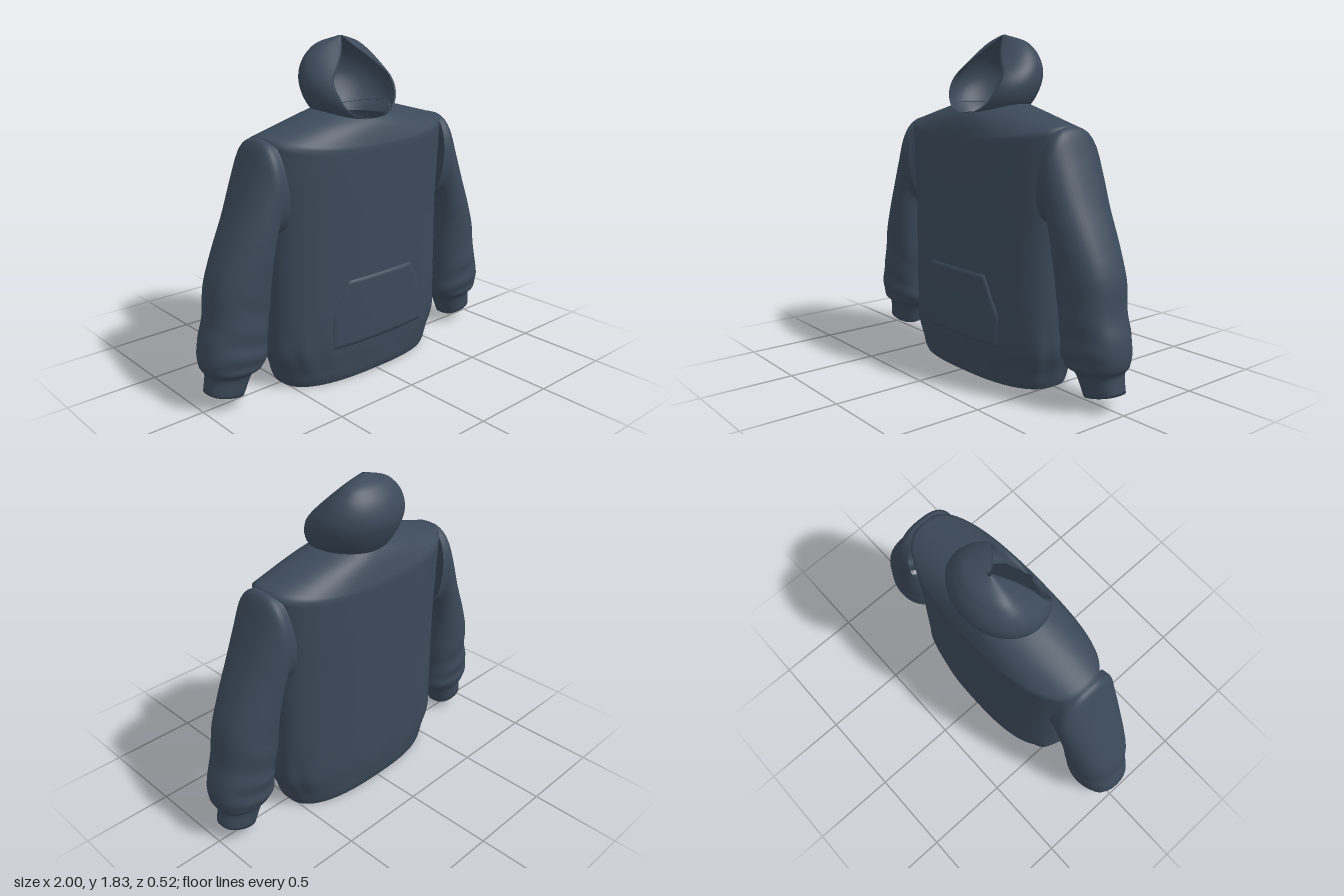
import * as THREE from 'three';

const fabric = new THREE.MeshStandardMaterial({ color: 0x3b4959, side: THREE.DoubleSide });
fabric.name = 'slate blue fabric';

// Smooth interpolation through rows of [key, ...values]
function spline(rows) {
  const size = rows[0].length - 1;
  const curve = new THREE.CubicInterpolant(
    rows.map(r => r[0]), rows.flatMap(r => r.slice(1)), size, new Float32Array(size));
  return k => [...curve.evaluate(k)];
}

// Surface from a rule fn(u, v) -> [x, y, z]; v wraps round when closed
function surface(name, rows, cols, closed, fn) {
  const pos = [], idx = [], n = closed ? cols : cols + 1;
  for (let i = 0; i <= rows; i++)
    for (let j = 0; j < n; j++) pos.push(...fn(i / rows, j / cols));
  for (let i = 0; i < rows; i++)
    for (let j = 0; j < cols; j++) {
      const a = i * n + j, c = i * n + (j + 1) % n;
      idx.push(a, a + n, c, a + n, c + n, c);
    }
  const g = new THREE.BufferGeometry();
  g.setAttribute('position', new THREE.Float32BufferAttribute(pos, 3));
  g.setIndex(idx);
  g.computeVertexNormals();
  const mesh = new THREE.Mesh(g, fabric);
  mesh.name = name;
  return mesh;
}

const { lerp, smoothstep, clamp } = THREE.MathUtils;
const TAU = Math.PI * 2, POWER = 2.6;
const bend = c => Math.sign(c) * Math.abs(c) ** (2 / POWER);

// Torso: height, half width, half depth
const torsoSize = spline([
  [0.005, 0.51, 0.218], [0.03, 0.52, 0.228], [0.1, 0.54, 0.238], [0.2, 0.578, 0.248],
  [0.35, 0.585, 0.25], [0.6, 0.585, 0.25], [0.88, 0.585, 0.25], [1.1, 0.598, 0.25], [1.29, 0.615, 0.248],
]);

function torsoPoint(y, a) {
  const [rx, rz] = torsoSize(y);
  // Gathered folds just above the hem
  const folds = smoothstep(y, 0.04, 0.16) * (1 - smoothstep(y, 0.18, 0.42));
  const r = 1 + 0.012 * folds * Math.sin(13 * a + 2 * Math.sin(3 * a));
  const s = bend(Math.sin(a));
  const lift = 0.08 * smoothstep(y, 1.0, 1.29) * (1 - s * s);
  return [rx * r * bend(Math.cos(a)), y + lift, rz * r * s];
}

// Yoke running from the shoulder line to the neckline
function yokePoint(t, a) {
  const p = torsoPoint(1.29, a), c = Math.cos(a), s = Math.sin(a);
  const neck = [0.225 * c, (s > 0 ? 1.425 : 1.455) + (s > 0 ? 0.05 : 0.02) * c * c, (s > 0 ? 0.19 : 0.18) * s];
  const q = p.map((v, i) => lerp(v, neck[i], t));
  q[1] += 0.02 * Math.sin(Math.PI * t) * s * s;
  return q;
}

// Sleeve rings: step, outer x y, inner x y, half depth, centre z
const sleeveRing = spline([
  [0, 0.585, 1.374, 0.53, 0.86, 0.18, 0],
  [1, 0.645, 1.355, 0.58, 0.87, 0.19, 0],
  [2, 0.70, 1.22, 0.597, 0.84, 0.19, 0],
  [3, 0.78, 1.02, 0.613, 0.73, 0.185, 0.005],
  [4, 0.87, 0.82, 0.617, 0.62, 0.178, 0.005],
  [5, 0.93, 0.66, 0.62, 0.51, 0.17, 0.005],
  [6, 0.955, 0.49, 0.637, 0.39, 0.162, 0.01],
  [7, 0.988, 0.385, 0.64, 0.31, 0.158, 0.012],
  [8, 1.0, 0.295, 0.642, 0.245, 0.152, 0.012],
  [9, 0.99, 0.23, 0.672, 0.20, 0.138, 0.01],
  [10, 0.965, 0.185, 0.722, 0.165, 0.108, 0.005],
  [11, 0.978, 0.1, 0.772, 0.052, 0.092, 0.003],
]);

function sleevePoint(side, k, v, scale = 1) {
  const a = -side * v * TAU, c = Math.cos(a), s = Math.sin(a);
  const [ox, oy, ix, iy, hz, cz] = sleeveRing(k);
  // Slanting creases on the forearm
  const crease = smoothstep(k, 4, 6) * (1 - smoothstep(k, 8.5, 9.8));
  const r = scale * (1 + 0.03 * crease * Math.sin(k * 4.2 + 1.5 * Math.sin(a)) * Math.abs(s));
  return [
    side * ((ox + ix) / 2 + (ox - ix) / 2 * c * scale),
    (oy + iy) / 2 + (oy - iy) / 2 * c * scale,
    cz + hz * bend(s) * r,
  ];
}

// Hood: height, half width, opening half width, opening z, back z
const hoodSize = spline([
  [1.415, 0.195, 0.01, 0.188, -0.165], [1.44, 0.212, 0.1, 0.187, -0.178], [1.48, 0.245, 0.16, 0.17, -0.205],
  [1.55, 0.272, 0.198, 0.142, -0.24], [1.62, 0.27, 0.2, 0.1, -0.26], [1.7, 0.236, 0.125, 0.05, -0.246],
  [1.76, 0.187, 0.062, 0.0, -0.212], [1.805, 0.12, 0.022, -0.045, -0.165], [1.836, 0.012, 0.001, -0.075, -0.09],
]);

function hoodPoint(u, v) {
  const y = lerp(1.415, 1.836, Math.sin(u * Math.PI / 2));
  const [w, o, zf, zb] = hoodSize(y);
  const edge = Math.PI - Math.asin(clamp(o / w, 0, 1));
  const d = (zf - zb) / (1 - Math.cos(edge));
  // The outermost strips fold back inside as a lining
  const t = (v * 2 - 1) * 1.16, over = Math.max(0, Math.abs(t) - 1);
  const phi = Math.sign(t) * edge * (Math.abs(t) - 2 * over);
  const k = over > 0 ? 0.95 : 1;
  return [w * k * Math.sin(phi), y, zb + d - d * k * Math.cos(phi)];
}

// Front pocket: a thin panel following the torso, its border tucked in
function pocketPoint(u, v) {
  const rows = 20, cols = 24;
  const tu = clamp((u * rows - 1) / (rows - 2), 0, 1), tv = clamp((v * cols - 1) / (cols - 2), 0, 1);
  const y = lerp(0.22, 0.59, tu);
  const half = y < 0.39 ? 0.325 : lerp(0.325, 0.23, (y - 0.39) / 0.2);
  const x = half * (1 - 2 * tv);
  const [rx, rz] = torsoSize(y);
  const border = u === 0 || u === 1 || v === 0 || v === 1;
  const z = rz * (1 - (Math.abs(x) / rx) ** POWER) ** (1 / POWER);
  return [x, y, z + (border ? -0.006 : 0.01)];
}

export function createModel() {
  const model = new THREE.Group();
  model.name = 'hoodedSweatshirt';
  model.add(
    surface('hemBand', 8, 128, true, (u, v) => torsoPoint(lerp(0.005, 0.1, u), v * TAU)),
    surface('torso', 60, 128, true, (u, v) =>
      u < 0.75 ? torsoPoint(lerp(0.1, 1.29, u / 0.75), v * TAU) : yokePoint((u - 0.75) * 4, v * TAU)),
    surface('frontPocket', 20, 24, false, pocketPoint),
    surface('hood', 40, 72, false, hoodPoint),
  );
  // Mirrored sleeves with cuffs turned in at the wrist
  for (const [side, label] of [[1, 'left'], [-1, 'right']]) {
    model.add(
      surface(label + 'Sleeve', 60, 40, true, (u, v) => sleevePoint(side, u * 10, v)),
      surface(label + 'Cuff', 10, 40, true, (u, v) =>
        u <= 0.6 ? sleevePoint(side, 10 + u / 0.6, v) : sleevePoint(side, 11 - (u - 0.6) * 2, v, 0.94)),
    );
  }
  return model;
}
